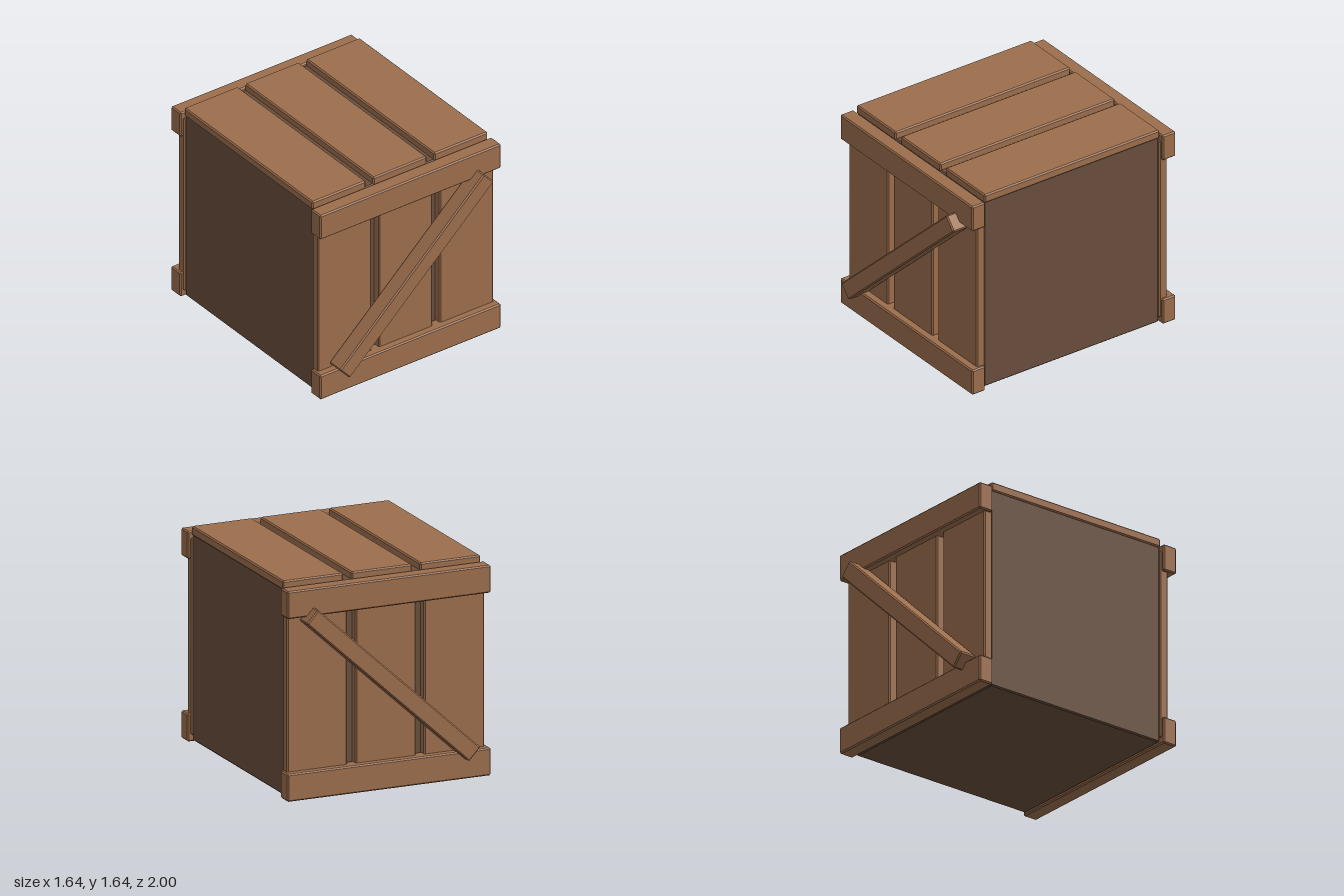
import * as THREE from 'three';
import { ConvexGeometry } from 'three/addons/geometries/ConvexGeometry.js';

const wood = new THREE.MeshStandardMaterial({ color: 0x9c6e4d, flatShading: true });
const darkWood = new THREE.MeshStandardMaterial({ color: 0x694e3c, flatShading: true });

// Box with every edge chamfered by b
function chamferBox(w, h, d, b) {
  const points = [];
  for (const x of [-1, 1]) for (const y of [-1, 1]) for (const z of [-1, 1]) {
    for (let axis = 0; axis < 3; axis++) {
      const inset = [b, b, b];
      inset[axis] = 0;
      points.push(new THREE.Vector3(
        x * (w / 2 - inset[0]), y * (h / 2 - inset[1]), z * (d / 2 - inset[2])));
    }
  }
  return new ConvexGeometry(points);
}

function board(parent, name, size, position, material = wood) {
  const mesh = new THREE.Mesh(chamferBox(...size, 0.01), material);
  mesh.name = name;
  mesh.position.set(...position);
  parent.add(mesh);
  return mesh;
}

export function createModel() {
  const crate = new THREE.Group();
  crate.name = 'crate';

  // Dark inner body, seen at the sides, the bottom and between the planks
  board(crate, 'body', [1.57, 1.58, 1.58], [0, 0.8, 0], darkWood);

  // Lid planks
  const plankX = [-0.553, 0, 0.553];
  for (const x of plankX) board(crate, 'lidPlank', [0.487, 0.07, 1.58], [x, 1.61, 0]);

  // Front and back walls: upright planks, two rails and a diagonal brace
  for (const side of [1, -1]) {
    const wall = new THREE.Group();
    wall.name = side > 0 ? 'frontWall' : 'backWall';
    for (const x of plankX) board(wall, 'wallPlank', [0.487, 1.5, 0.075], [x, 0.8, side * 0.8225]);
    board(wall, 'bottomRail', [1.64, 0.21, 0.12], [0, 0.105, side * 0.86]);
    board(wall, 'topRail', [1.64, 0.21, 0.12], [0, 1.495, side * 0.86]);
    const brace = board(wall, 'diagonalBrace', [1.78, 0.135, 0.14], [0, 0.805, side * 0.93]);
    brace.rotation.z = THREE.MathUtils.degToRad(42.7);
    crate.add(wall);
  }
  return crate;
}
